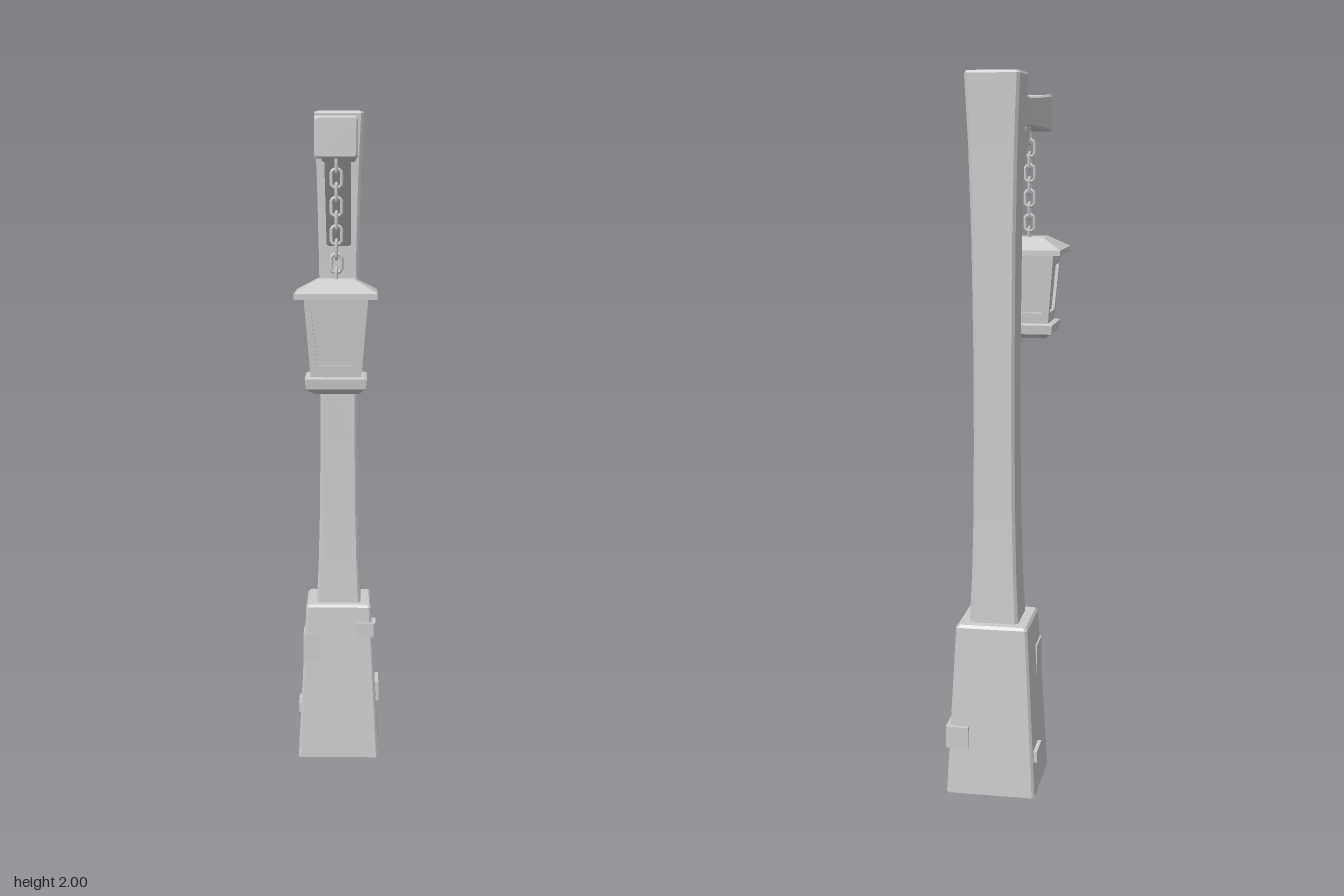
import * as THREE from 'three';

const stone = new THREE.MeshStandardMaterial({ color: 0xcccccc, side: THREE.DoubleSide });
stone.name = 'plain grey';

// Flat-faced loft through chamfered rectangles: rings of [halfX, halfZ, y]
function loft(rings, chamfer, capBottom = true, capTop = true) {
  const pos = [];
  const loops = rings.map(([a, b, y]) => {
    const c = chamfer;
    return [[a, c - b], [a, b - c], [a - c, b], [c - a, b], [-a, b - c], [-a, c - b], [c - a, -b], [a - c, -b]]
      .map(([x, z]) => [x, y, z]);
  });
  const tri = (...pts) => pts.forEach((p) => pos.push(...p));
  for (let k = 0; k < loops.length - 1; k++) {
    for (let i = 0; i < 8; i++) {
      const j = (i + 1) % 8;
      const [a, b, c, d] = [loops[k][i], loops[k][j], loops[k + 1][i], loops[k + 1][j]];
      tri(a, c, d);
      tri(a, d, b);
    }
  }
  const last = loops[loops.length - 1];
  for (let i = 1; i < 7; i++) {
    if (capBottom) tri(loops[0][0], loops[0][i], loops[0][i + 1]);
    if (capTop) tri(last[0], last[i + 1], last[i]);
  }
  const g = new THREE.BufferGeometry();
  g.setAttribute('position', new THREE.Float32BufferAttribute(pos, 3));
  g.computeVertexNormals();
  return g;
}

const square = (list) => list.map(([h, y]) => [h, h, y]);

function polygon(points) {
  return new THREE.Shape(points.map(([x, y]) => new THREE.Vector2(x, y)));
}

function add(parent, name, geometry, x = 0, y = 0, z = 0) {
  const mesh = new THREE.Mesh(geometry, stone);
  mesh.name = name;
  mesh.position.set(x, y, z);
  parent.add(mesh);
  return mesh;
}

function buildPost(root) {
  const post = new THREE.Group();
  post.name = 'post';
  post.position.z = -0.263;
  root.add(post);

  // Hollow tapered foot, open underneath
  add(post, 'base', loft(square([[0.126, 0], [0.101, 0.482], [0.095, 0.49]]), 0.007, false));
  // Column flaring at both ends
  add(post, 'column', loft(square([
    [0.069, 0.485], [0.063, 0.62], [0.059, 0.78], [0.057, 1.0], [0.057, 1.25],
    [0.060, 1.55], [0.066, 1.8], [0.0745, 1.993], [0.069, 2.0],
  ]), 0.008));

  // Raised bricks wrapping the foot's corners
  const halfAt = (y) => 0.126 - 0.052 * y;
  const bricks = [
    { sx: 1, sz: 1, a: 0.06, b: 0.07, y0: 0.39, y1: 0.435, out: 0.011 },
    { sx: 1, sz: -1, a: 0.065, b: 0.105, y0: 0.135, y1: 0.198, out: 0.01 },
    { sx: -1, sz: 1, a: 0.05, b: 0.09, y0: 0.3, y1: 0.4, out: 0.002 },
  ];
  for (const { sx, sz, a, b, y0, y1, out } of bricks) {
    const h = halfAt((y0 + y1) / 2) + out;
    const t = 0.018;
    const c = 0.006;
    const pts = [[h - c, h], [h, h - c], [h, h - b], [h - t, h - b], [h - t, h - t], [h - a, h - t], [h - a, h]];
    // Shape y becomes -z once laid flat
    const g = new THREE.ExtrudeGeometry(polygon(pts.map(([x, z]) => [sx * x, -sz * z])),
      { depth: y1 - y0, bevelEnabled: false });
    g.rotateX(-Math.PI / 2);
    add(post, 'cornerBrick', g, 0, y0, 0);
  }
  add(post, 'sideBrick', new THREE.BoxGeometry(0.02, 0.032, 0.085), -0.12, 0.114, -0.06);
}

function buildArm(root) {
  // Beam, thinner in the middle
  const beam = loft([
    [0.052, 0.05, -0.21], [0.048, 0.045, -0.09], [0.045, 0.042, 0.02],
    [0.047, 0.044, 0.13], [0.053, 0.050, 0.25], [0.058, 0.055, 0.345], [0.053, 0.050, 0.35],
  ], 0.005);
  beam.rotateX(Math.PI / 2);
  add(root, 'arm', beam, 0, 1.9, 0);

  // Diagonal brace: profile in (z, y), extruded across x
  const profile = polygon([[0.105, 1.865], [0.0, 1.865], [-0.21, 1.675], [-0.21, 1.595]]);
  const brace = new THREE.ExtrudeGeometry(profile, {
    depth: 0.062, bevelEnabled: true, bevelSize: 0.005, bevelOffset: -0.005, bevelThickness: 0.006, bevelSegments: 1,
  });
  brace.translate(0, 0, -0.031);
  brace.rotateY(-Math.PI / 2);
  add(root, 'brace', brace);
}

function buildChain(root) {
  const chain = new THREE.Group();
  chain.name = 'chain';
  chain.position.z = 0.284;
  root.add(chain);
  // Oval link: a ring with its two halves pulled apart
  const link = new THREE.TorusGeometry(0.0145, 0.0048, 6, 12);
  link.rotateZ(Math.PI / 12);
  const p = link.attributes.position;
  for (let i = 0; i < p.count; i++) p.setY(i, p.getY(i) + Math.sign(p.getY(i)) * 0.011);
  link.computeVertexNormals();
  for (let i = 0; i < 9; i++) {
    const m = add(chain, 'chainLink', link, 0, 1.832 - i * 0.0375, 0);
    m.rotation.y = i % 2 ? 0 : Math.PI / 2;
  }
}

function buildLantern(root) {
  const lantern = new THREE.Group();
  lantern.name = 'lantern';
  lantern.position.z = 0.284;
  root.add(lantern);

  add(lantern, 'roof', loft(square([[0.111, 1.478], [0.111, 1.494], [0.05, 1.528]]), 0.0005));
  add(lantern, 'lanternFloor', loft(square([[0.06, 1.222], [0.081, 1.236], [0.084, 1.264], [0.074, 1.268]]), 0.001));
  add(lantern, 'panes', loft(square([[0.058, 1.262], [0.076, 1.48]]), 0.0005));

  // Four leaning walls, each a frame with a window opening
  const [low, high, rise] = [0.068, 0.086, 0.216];
  const wall = polygon([[-low, 0], [low, 0], [high, rise], [-high, rise]]);
  wall.holes.push(polygon([[-0.05, 0.036], [-0.066, 0.18], [0.066, 0.18], [0.05, 0.036]]));
  const frame = new THREE.ExtrudeGeometry(wall, { depth: 0.012, bevelEnabled: false });
  frame.translate(0, 0, -0.012);
  frame.rotateX(Math.atan2(high - low, rise));
  frame.translate(0, 1.264, low);
  for (let i = 0; i < 4; i++) {
    add(lantern, 'windowFrame', frame).rotation.y = i * Math.PI / 2;
  }
}

export function createModel() {
  const root = new THREE.Group();
  root.name = 'hangingLanternPost';
  buildPost(root);
  buildArm(root);
  buildChain(root);
  buildLantern(root);
  return root;
}
